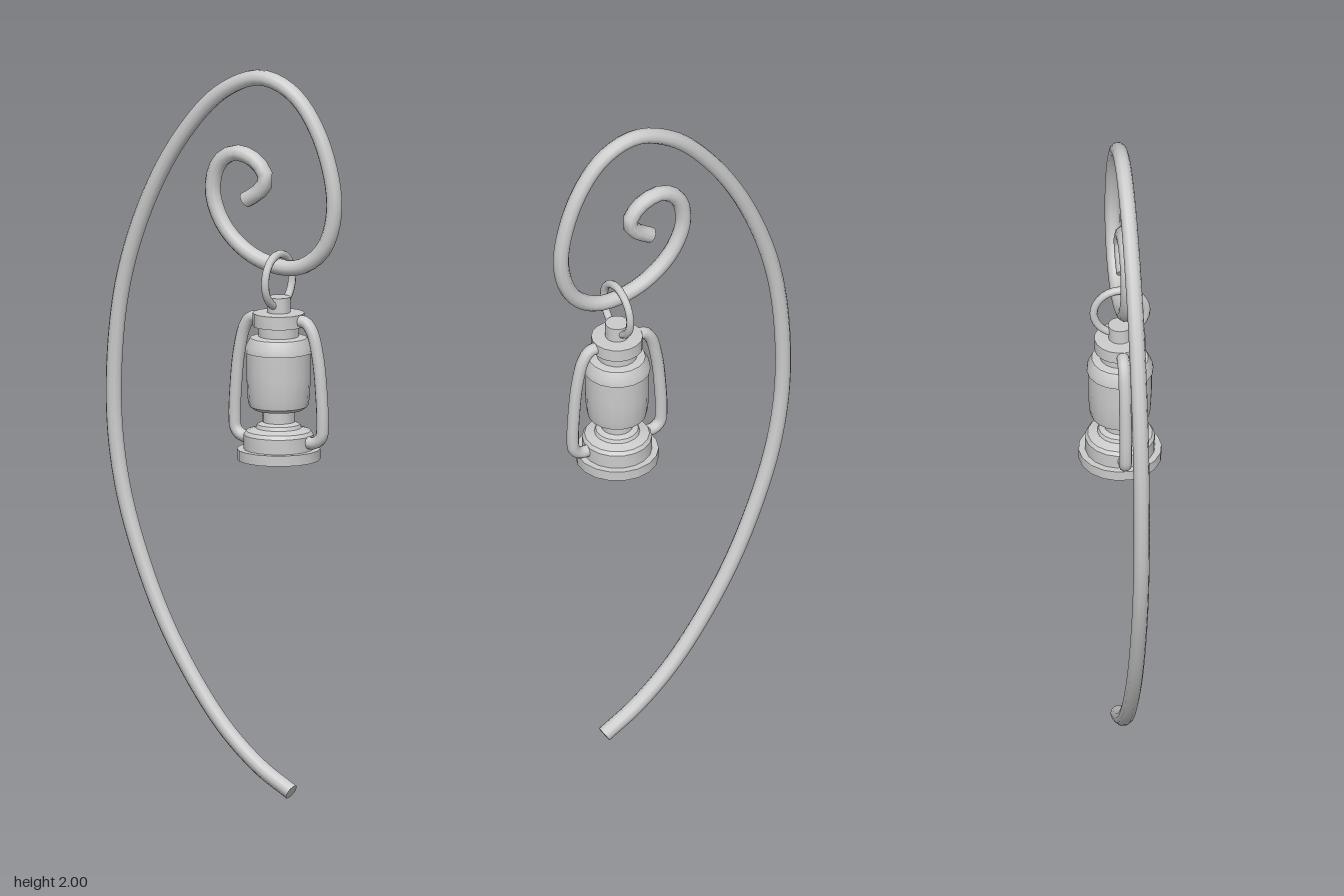
import * as THREE from 'three';
import { toCreasedNormals } from 'three/addons/utils/BufferGeometryUtils.js';

const material = new THREE.MeshStandardMaterial({ color: 0xcccccc });

function addMesh(parent, name, geometry) {
  const mesh = new THREE.Mesh(geometry, material);
  mesh.name = name;
  parent.add(mesh);
  return mesh;
}

// Round rod along a smooth curve in the xy plane, closed by a disc at each end
function rod(name, points, radius, segments, sides) {
  const group = new THREE.Group();
  group.name = name;
  const curve = new THREE.CatmullRomCurve3(points.map(([x, y]) => new THREE.Vector3(x, y, 0)), false, 'centripetal');
  addMesh(group, name + 'Tube', new THREE.TubeGeometry(curve, segments, radius, sides));
  for (const t of [0, 1]) {
    const cap = addMesh(group, name + 'End', new THREE.CircleGeometry(radius, sides));
    const outward = curve.getTangentAt(t).multiplyScalar(t ? 1 : -1);
    cap.position.copy(curve.getPointAt(t));
    cap.quaternion.setFromUnitVectors(new THREE.Vector3(0, 0, 1), outward);
  }
  return group;
}

// Turned part from [radius, height] pairs, listed from bottom to top
function turned(parent, name, profile) {
  const lathe = new THREE.LatheGeometry(profile.map(([r, y]) => new THREE.Vector2(r, y)), 18);
  return addMesh(parent, name, toCreasedNormals(lathe, 0.6));
}

export function createModel() {
  const model = new THREE.Group();
  model.name = 'hangingLantern';

  // Curved pole ending in a scroll
  model.add(rod('pole', [
    [0.21, 0.019], [0.11, 0.08], [-0.01, 0.19], [-0.155, 0.395], [-0.253, 0.6], [-0.322, 0.82],
    [-0.348, 1.05], [-0.322, 1.36], [-0.24, 1.61], [-0.13, 1.8], [-0.01, 1.927], [0.113, 1.978],
    [0.215, 1.943], [0.3, 1.83], [0.345, 1.65], [0.315, 1.53], [0.25, 1.473], [0.18, 1.462],
    [0.08, 1.49], [0, 1.558], [-0.037, 1.65], [-0.018, 1.73], [0.035, 1.764], [0.1, 1.745],
    [0.13, 1.7], [0.11, 1.665], [0.066, 1.636],
  ], 0.022, 140, 10));

  const lantern = new THREE.Group();
  lantern.name = 'lantern';
  lantern.position.x = 0.17;
  model.add(lantern);

  // Fuel tank on its base plate
  turned(lantern, 'basePlate', [[0, 0.933], [0.113, 0.933], [0.113, 0.962], [0, 0.962]]);
  turned(lantern, 'fuelTank', [
    [0.095, 0.96], [0.095, 1.002], [0.088, 1.012], [0.062, 1.02], [0.058, 1.03], [0.043, 1.036], [0.043, 1.075],
  ]);

  // Globe, hood and chimney
  turned(lantern, 'globe', [
    [0, 1.07], [0.066, 1.07], [0.08, 1.08], [0.084, 1.1], [0.087, 1.16], [0.087, 1.235],
  ]);
  turned(lantern, 'hood', [
    [0.08, 1.228], [0.091, 1.228], [0.089, 1.245], [0.077, 1.268], [0.055, 1.272], [0.055, 1.3],
  ]);
  turned(lantern, 'chimneyCap', [
    [0, 1.3], [0.07, 1.3], [0.07, 1.336], [0.032, 1.338], [0.032, 1.38], [0, 1.38],
  ]);

  // Side frames, mirrored left and right
  for (const side of [1, -1]) {
    lantern.add(rod(side > 0 ? 'leftFrame' : 'rightFrame', [
      [0.05, 1.318], [0.085, 1.316], [0.106, 1.29], [0.124, 1.22], [0.134, 1.13],
      [0.138, 1.04], [0.134, 1.005], [0.115, 0.988], [0.08, 0.987],
    ].map(([x, y]) => [x * side, y]), 0.017, 40, 10));
  }

  // Ring that hangs over the scroll
  const ring = addMesh(lantern, 'hangingRing', new THREE.TorusGeometry(0.072, 0.011, 8, 28));
  ring.rotation.y = Math.PI / 2;
  ring.position.y = 1.425;

  return model;
}
